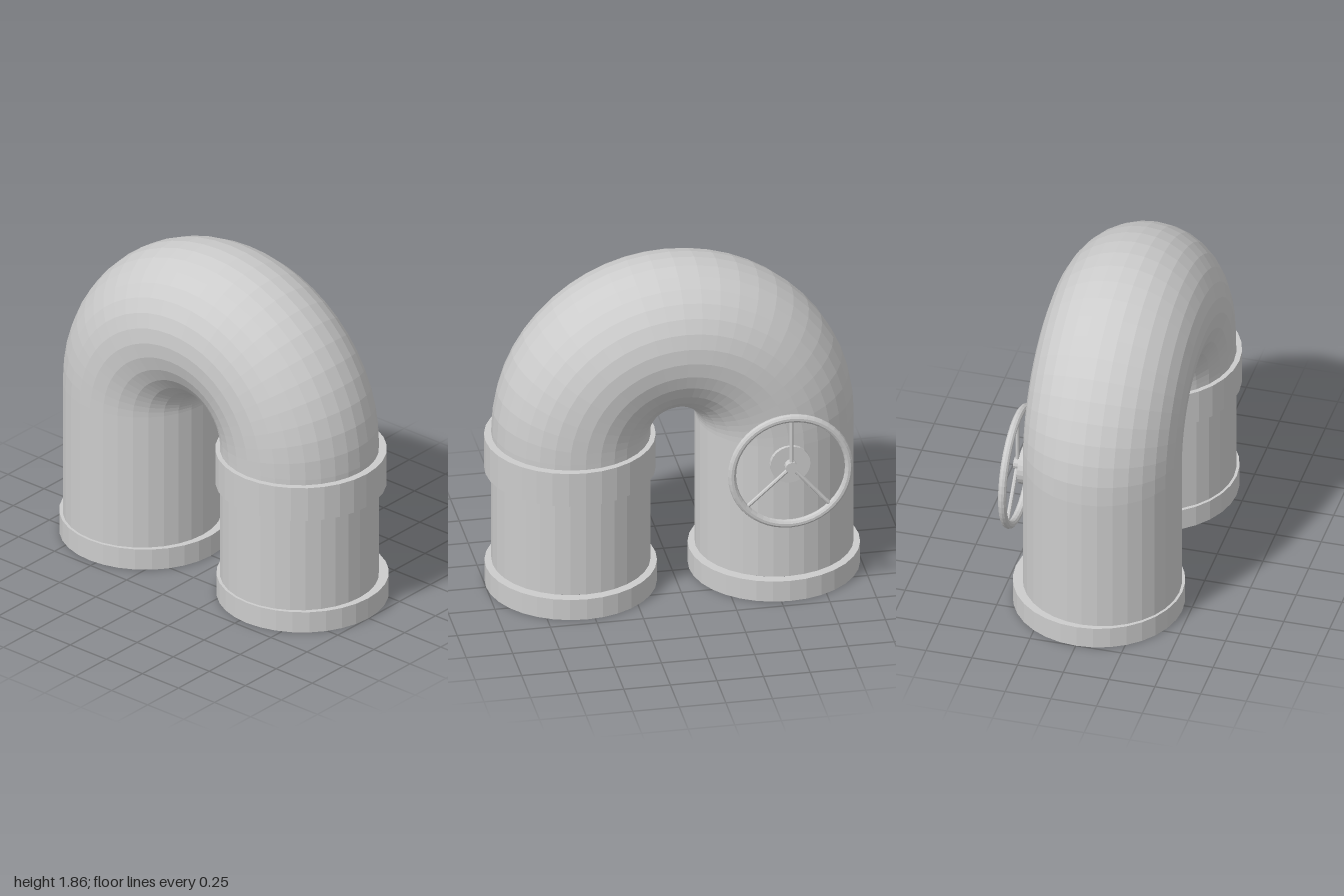
import * as THREE from 'three';

const SIDES = 32;
const PIPE_R = 0.42, BEND_R = 0.545, BEND_Y = 0.895;
const PIPE_X = -0.023, MID_Z = -0.005;

const material = new THREE.MeshStandardMaterial({
  color: 0xcccccc, flatShading: true, side: THREE.DoubleSide,
});

function part(name, geometry, x, y, z) {
  const mesh = new THREE.Mesh(geometry, material);
  mesh.name = name;
  mesh.position.set(x, y, z);
  return mesh;
}

// Sleeve turned from an [radius, height] outline
function sleeve(points) {
  return new THREE.LatheGeometry(points.map(([r, y]) => new THREE.Vector2(r, y)), SIDES);
}

// Cylinder lying along x
function axle(radius, length, sides) {
  return new THREE.CylinderGeometry(radius, radius, length, sides).rotateZ(Math.PI / 2);
}

function createHandwheel() {
  const wheel = new THREE.Group();
  wheel.name = 'handwheel';
  const hubY = 0.795, hubZ = -0.555, wheelX = 0.439;

  wheel.add(part('wheelRim',
    new THREE.TorusGeometry(0.314, 0.022, 10, 48).rotateY(Math.PI / 2), wheelX, 0.772, -0.55));
  wheel.add(part('mountingPlate', axle(0.107, 0.06, 24), 0.383, hubY, hubZ));
  wheel.add(part('wheelHub', axle(0.033, 0.075, 12), 0.418, hubY, hubZ));

  // Three spokes from the hub to the rim
  const hub = new THREE.Vector3(wheelX, hubY, hubZ);
  const ends = [[1.08, -0.555], [0.57, -0.305], [0.55, -0.765]];
  ends.forEach(([y, z]) => {
    const path = new THREE.LineCurve3(hub, new THREE.Vector3(wheelX, y, z));
    wheel.add(part('spoke', new THREE.TubeGeometry(path, 1, 0.011, 8), 0, 0, 0));
  });
  return wheel;
}

export function createModel() {
  const model = new THREE.Group();
  model.name = 'pipeBend';

  // Half-circle bend joining the legs
  model.add(part('bend',
    new THREE.TorusGeometry(BEND_R, PIPE_R, SIDES, 26, Math.PI).rotateY(Math.PI / 2),
    PIPE_X, BEND_Y, MID_Z));

  // Open legs, each standing in a hollow base flange
  const flangeTop = 0.12, legHeight = BEND_Y - flangeTop;
  for (const [side, s] of [['front', 1], ['back', -1]]) {
    model.add(part(side + 'Leg',
      new THREE.CylinderGeometry(PIPE_R, PIPE_R, legHeight, SIDES, 1, true),
      PIPE_X, flangeTop + legHeight / 2, MID_Z + s * BEND_R));
    model.add(part(side + 'BaseFlange',
      sleeve([[0.455, 0], [0.455, flangeTop], [0.4, flangeTop]]), -0.003, 0, s * 0.545));
  }

  // Collar around the front leg
  model.add(part('collar',
    sleeve([[0.4, 0.67], [0.453, 0.67], [0.453, 0.865], [0.4, 0.865]]), -0.018, 0, 0.547));

  model.add(createHandwheel());
  return model;
}
